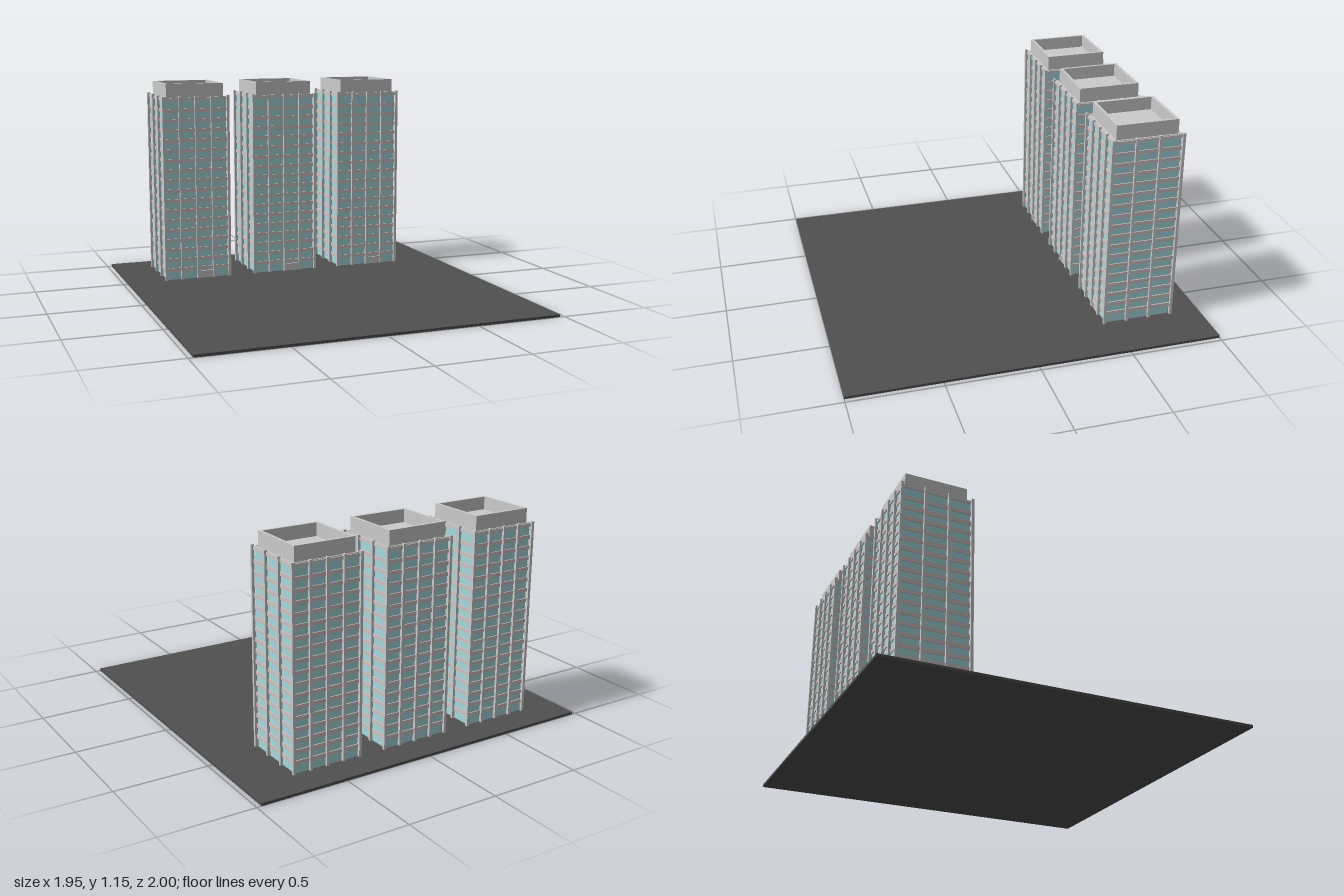
import * as THREE from 'three';

const material = (color, side = THREE.FrontSide) =>
  new THREE.MeshStandardMaterial({ color, side, flatShading: true });
const grey = material(0xcccccc);
const glass = material(0xa6dade);
const bandMat = material(0xcfc3c3);
const asphalt = material(0x505050);

const GROUND = 0.014, ROOF = 1.075, FLOORS = 18;

// Box standing on y, centred on x and z
function box(parent, name, mat, w, h, d, x, y, z) {
  const mesh = new THREE.Mesh(new THREE.BoxGeometry(w, h, d), mat);
  mesh.name = name;
  mesh.position.set(x, y + h / 2, z);
  parent.add(mesh);
  return mesh;
}

// Square frame extruded upward
function squareRing(parent, name, outer, inner, y, h) {
  const square = (r, P) => new P([[-r, -r], [r, -r], [r, r], [-r, r]].map(p => new THREE.Vector2(...p)));
  const shape = square(outer, THREE.Shape);
  shape.holes.push(square(inner, THREE.Path));
  const mesh = new THREE.Mesh(new THREE.ExtrudeGeometry(shape, { depth: h, bevelEnabled: false }), grey);
  mesh.name = name;
  mesh.rotation.x = -Math.PI / 2;
  mesh.position.y = y;
  parent.add(mesh);
}

function createTower() {
  const tower = new THREE.Group();
  tower.name = 'tower';

  // Glazed core with a projecting band at every floor
  box(tower, 'glassCore', glass, 0.364, ROOF - GROUND - 0.01, 0.364, 0, GROUND, 0);
  const step = (ROOF - 0.015 - GROUND) / FLOORS;
  for (let i = 1; i < FLOORS; i++) {
    box(tower, 'floorBand', bandMat, 0.376, step * 0.36, 0.376, 0, GROUND + i * step - step * 0.18, 0);
  }
  box(tower, 'roofSlab', grey, 0.38, 0.017, 0.38, 0, ROOF - 0.017, 0);

  // Columns: five along front and back, four along each side
  const columnHeight = 1.085 - GROUND;
  for (const s of [-1, 1]) {
    for (let i = 0; i < 5; i++) {
      box(tower, 'column', grey, 0.015, columnHeight, 0.015, (i - 2) * 0.0955, GROUND, s * 0.191);
    }
    for (const z of [-0.064, 0.064]) {
      box(tower, 'column', grey, 0.015, columnHeight, 0.015, s * 0.191, GROUND, z);
    }
  }

  // Roof crown around a sunken deck
  squareRing(tower, 'crownWall', 0.169, 0.154, ROOF, 0.08);
  squareRing(tower, 'roofCurb', 0.184, 0.176, ROOF, 0.004);
  box(tower, 'roofDeck', grey, 0.31, 0.01, 0.31, 0, ROOF, 0);

  // Entrance in the bay beside the middle column
  box(tower, 'entrance', grey, 0.08, 0.042, 0.02, 0.048, GROUND, 0.182);
  for (const x of [0.01, 0.03]) {
    box(tower, 'doorFrame', grey, 0.004, 0.042, 0.004, x, GROUND, 0.193);
  }
  return tower;
}

export function createModel() {
  const model = new THREE.Group();
  model.name = 'towerBlocks';
  box(model, 'ground', asphalt, 1.95, GROUND, 2, 0, 0, 0);
  for (const x of [-0.564, -0.025, 0.51]) {
    const tower = createTower();
    tower.position.set(x, 0, -0.643);
    model.add(tower);
  }
  return model;
}
